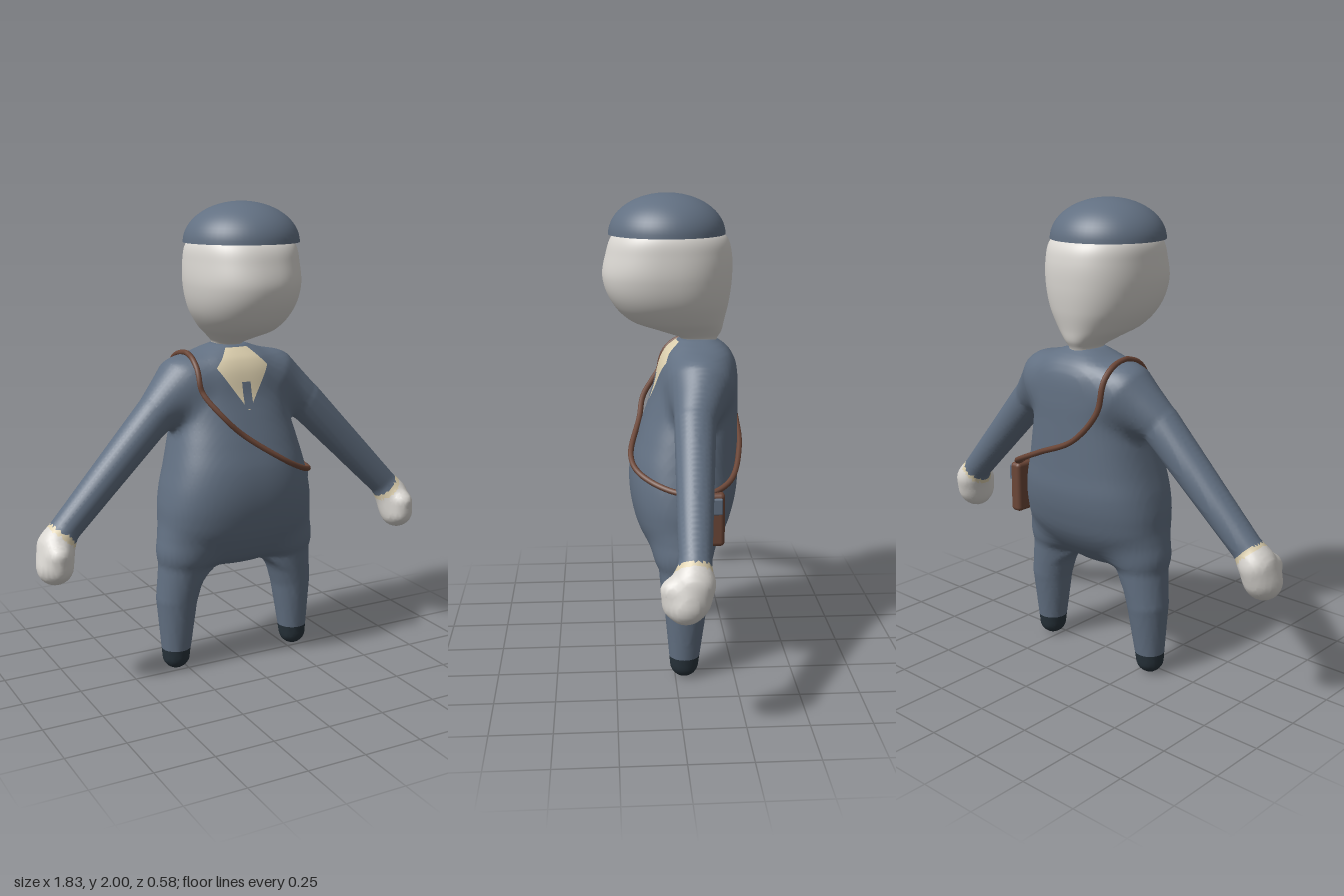
import * as THREE from 'three';
import { RoundedBoxGeometry } from 'three/addons/geometries/RoundedBoxGeometry.js';

const paint = (name, color) => Object.assign(new THREE.MeshStandardMaterial({ color }), { name });
const V = (x, y, z) => new THREE.Vector3(x, y, z);

// Smooth profile: rows of [y, halfWidth, frontZ, backZ], cubic between rows.
function profile(rows) {
  const slope = (i, k) => {
    const a = rows[Math.max(i - 1, 0)], b = rows[Math.min(i + 1, rows.length - 1)];
    return (b[k] - a[k]) / (b[0] - a[0]);
  };
  return (y) => {
    let i = 0;
    while (i < rows.length - 2 && y > rows[i + 1][0]) i++;
    const p = rows[i], q = rows[i + 1], d = q[0] - p[0];
    const t = Math.min(Math.max((y - p[0]) / d, 0), 1), t2 = t * t, t3 = t2 * t;
    return [1, 2, 3].map((k) => (2 * t3 - 3 * t2 + 1) * p[k] + (3 * t2 - 2 * t3) * q[k]
      + d * ((t3 - 2 * t2 + t) * slope(i, k) + (t3 - t2) * slope(i + 1, k)));
  };
}

const torso = profile([
  [0.455, 0.12, 0.02, -0.09], [0.5, 0.26, 0.08, -0.15], [0.6, 0.34, 0.14, -0.225], [0.7, 0.348, 0.17, -0.262],
  [0.8, 0.335, 0.18, -0.28], [0.9, 0.31, 0.17, -0.28], [1.0, 0.285, 0.14, -0.28], [1.1, 0.262, 0.105, -0.28],
  [1.2, 0.258, 0.07, -0.28], [1.3, 0.24, 0.045, -0.272], [1.35, 0.2, 0.02, -0.25], [1.38, 0.14, -0.01, -0.22],
  [1.405, 0.07, -0.04, -0.18],
]);

// Limbs as chains of [x, y, z, radius]; mirrored across x.
const arm = [[0.215, 1.235, -0.11, 0.125], [0.36, 1.13, -0.075, 0.084], [0.795, 0.685, -0.042, 0.062]];
const hand = [[0.822, 0.64, -0.025, 0.074], [0.838, 0.565, -0.005, 0.075]];
const palm = [[0.832, 0.635, -0.06, 0.05], [0.838, 0.585, -0.045, 0.05]];
const thumb = [[0.835, 0.62, 0.045, 0.045], [0.832, 0.565, 0.045, 0.036]];
const leg = [[0.293, 0.062, -0.038, 0.06], [0.283, 0.32, -0.045, 0.09], [0.25, 0.5, -0.04, 0.108]];

function chain(nodes, x, y, z) {
  let best = 9;
  for (let i = 0; i + 1 < nodes.length; i++) {
    const [a, b, c, r] = nodes[i], [d, e, f, s] = nodes[i + 1];
    const u = d - a, v = e - b, w = f - c;
    const t = Math.min(Math.max(((x - a) * u + (y - b) * v + (z - c) * w) / (u * u + v * v + w * w), 0), 1);
    best = Math.min(best, Math.hypot(x - a - u * t, y - b - v * t, z - c - w * t) - r - (s - r) * t);
  }
  return best;
}

function blend(a, b, k) {
  const h = Math.max(k - Math.abs(a - b), 0) / k;
  return Math.min(a, b) - h * h * k / 4;
}

// Distance to the skin of the whole body.
function field(px, y, z) {
  const x = Math.abs(px);
  const [rx, zf, zb] = torso(y);
  const rz = (zf - zb) / 2;
  const round = Math.pow(Math.pow(x / rx, 2.4) + Math.pow(Math.abs(z - (zf + zb) / 2) / rz, 2.4), 1 / 2.4);
  let d = Math.max((round - 1) * Math.min(rx, rz), y - 1.405, 0.455 - y);
  d = blend(d, chain(leg, x, y, z), 0.09);
  let limb = blend(chain(arm, x, y, z), chain(hand, x, y, z), 0.03);
  limb = blend(limb, chain(palm, x, y, z), 0.04);
  limb = blend(limb, chain(thumb, x, y, z), 0.03);
  return blend(d, limb, 0.06);
}

// Moves a point along the gradient until the field equals the target.
function settle(p, target = 0, steps = 4) {
  const e = 0.002;
  for (let n = 0; n < steps; n++) {
    const g = V(field(p.x + e, p.y, p.z) - field(p.x - e, p.y, p.z), field(p.x, p.y + e, p.z) - field(p.x, p.y - e, p.z),
      field(p.x, p.y, p.z + e) - field(p.x, p.y, p.z - e)).divideScalar(2 * e);
    const move = (target - field(p.x, p.y, p.z)) / Math.max(g.lengthSq(), 0.2);
    p.addScaledVector(g, Math.min(Math.max(move, -0.01), 0.01));
  }
  return p;
}

// Meshes the field on a grid, one vertex per crossed cell; faces sorted by zone.
function skinGeometry(zoneOf, zoneCount, hemY) {
  const h = 0.016, size = [122, 93, 38], origin = [-0.968, -0.024, -0.33];
  const step = [1, size[0], size[0] * size[1]];
  const values = new Float32Array(step[2] * size[2]), cell = new Int32Array(values.length).fill(-1);
  const at = (i, j, k) => i + j * step[1] + k * step[2];
  const each = (from, to, fn) => {
    for (let k = from; k < size[2] - to; k++) for (let j = from; j < size[1] - to; j++)
      for (let i = from; i < size[0] - to; i++) fn(i, j, k, at(i, j, k));
  };
  each(0, 0, (i, j, k, n) => { values[n] = field(origin[0] + i * h, origin[1] + j * h, origin[2] + k * h); });
  const points = [];
  each(0, 1, (i, j, k, n) => {
    const sum = V(0, 0, 0);
    let hits = 0;
    for (let c = 0; c < 8; c++) for (let a = 0; a < 3; a++) {
      if (c >> a & 1) continue;
      const m = n + (c & 1) + (c >> 1 & 1) * step[1] + (c >> 2) * step[2];
      const f0 = values[m], f1 = values[m + step[a]];
      if (f0 < 0 === f1 < 0) continue;
      const q = V(c & 1, c >> 1 & 1, c >> 2);
      q.setComponent(a, f0 / (f0 - f1));
      sum.add(q);
      hits++;
    }
    if (!hits) return;
    const p = sum.divideScalar(hits).add(V(i, j, k)).multiplyScalar(h).add(V(...origin));
    settle(p);
    if (j === Math.floor((hemY - origin[1]) / h)) p.y = hemY;
    cell[n] = points.push(p) - 1;
  });
  const zones = Array.from({ length: zoneCount }, () => []);
  each(1, 1, (i, j, k, n) => {
    for (let a = 0; a < 3; a++) {
      if (values[n] < 0 === values[n + step[a]] < 0) continue;
      const b = step[(a + 1) % 3], c = step[(a + 2) % 3];
      const quad = [cell[n], cell[n - b], cell[n - b - c], cell[n - c]];
      if (values[n] >= 0) quad.reverse();
      const [p, q, r, s] = quad;
      for (const tri of [[p, q, r], [p, r, s]]) {
        const mid = V(0, 0, 0);
        tri.forEach((t) => mid.addScaledVector(points[t], 1 / 3));
        zones[zoneOf(mid)].push(...tri);
      }
    }
  });
  const geo = new THREE.BufferGeometry().setFromPoints(points);
  geo.setIndex(zones.flat());
  let start = 0;
  zones.forEach((z, i) => { geo.addGroup(start, z.length, i); start += z.length; });
  geo.computeVertexNormals();
  return geo;
}

// Grid of (rows+1) x cols points; wraps around when closed.
function gridGeometry(rows, cols, closed, pointAt) {
  const pts = [], index = [];
  for (let r = 0; r <= rows; r++) for (let c = 0; c < cols; c++) pts.push(pointAt(r / rows, c / (closed ? cols : cols - 1)));
  for (let r = 0; r < rows; r++) for (let c = 0; c < (closed ? cols : cols - 1); c++) {
    const a = r * cols + c, b = r * cols + (c + 1) % cols;
    index.push(a, b, b + cols, a, b + cols, a + cols);
  }
  const geo = new THREE.BufferGeometry().setFromPoints(pts);
  geo.setIndex(index);
  geo.computeVertexNormals();
  return geo;
}

// Thin cloth patch lying on the chest.
function chestPatch(y0, y1, halfWidth, lift) {
  return gridGeometry(30, 17, false, (v, u) => {
    const y = y0 + (y1 - y0) * v, x = (u * 2 - 1) * halfWidth(y);
    let out = 0.25, inside = -0.11;
    for (let n = 0; n < 18; n++) {
      const m = (out + inside) / 2;
      if (field(x, y, m) < 0) inside = m; else out = m;
    }
    return V(x, y, out + lift);
  });
}

export function createModel() {
  const cloth = paint('blue grey cloth', 0x627082), skin = paint('pale skin', 0xd9d6d1);
  const linen = paint('cream linen', 0xdccfae), leather = paint('brown leather', 0x6b4637);
  const shoe = paint('dark shoe', 0x27323a);
  const model = new THREE.Group();
  const add = (name, geo, mat) => {
    const mesh = new THREE.Mesh(geo, mat);
    mesh.name = name;
    model.add(mesh);
    return mesh;
  };

  // Suit, shoes, cuffs and hands in one continuous skin
  const zoneOf = (p) => {
    if (p.y < 0.096) return 1;
    const along = 0.673 * Math.abs(p.x) - 0.739 * p.y;
    if (Math.abs(p.x) < 0.6 || along < 0.02) return 0;
    return along < 0.04 ? 2 : 3;
  };
  add('body', skinGeometry(zoneOf, 4, 0.096), [cloth, shoe, linen, skin]);

  // Shirt opening and tie
  const vee = (y) => (y < 1.32 ? 0.12 * (y - 1.14) / 0.18 : 0.12 - 0.07 * (y - 1.32) / 0.075);
  add('shirtFront', chestPatch(1.145, 1.395, vee, 0.003), linen);
  add('tie', chestPatch(1.15, 1.26, () => 0.02, 0.006), cloth);

  // Head and neck
  const head = profile([
    [1.36, 0.07, -0.045, -0.18], [1.405, 0.06, -0.04, -0.195], [1.435, 0.088, 0.04, -0.212], [1.48, 0.145, 0.165, -0.222],
    [1.56, 0.2, 0.245, -0.24], [1.66, 0.226, 0.282, -0.252], [1.76, 0.225, 0.267, -0.25], [1.83, 0.212, 0.24, -0.226],
    [1.88, 0.17, 0.18, -0.16],
  ]);
  const bend = (v) => Math.sign(v) * Math.pow(Math.abs(v), 0.88);
  add('head', gridGeometry(64, 56, true, (v, u) => {
    const y = 1.36 + 0.52 * v, [rx, zf, zb] = head(y), t = -u * Math.PI * 2;
    return V(rx * bend(Math.cos(t)), y, (zf + zb) / 2 + (zf - zb) / 2 * bend(Math.sin(t)));
  }), skin);

  // Cap: closed dome
  const dome = Array.from({ length: 17 }, (_, i) => {
    const t = i / 16 * Math.PI / 2;
    return new THREE.Vector2(Math.max(0.24 * Math.cos(t), 0), 1.835 + 0.165 * Math.sin(t));
  });
  add('cap', new THREE.LatheGeometry(dome, 56), cloth).position.z = 0.016;
  const brim = add('capUnderside', new THREE.CircleGeometry(0.24, 56), cloth);
  brim.rotation.x = Math.PI / 2;
  brim.position.set(0, 1.835, 0.016);

  // Shoulder strap, kept just outside the body
  const route = new THREE.CatmullRomCurve3([
    V(-0.2, 1.375, -0.1), V(-0.2, 1.32, 0), V(-0.195, 1.23, 0.04), V(-0.13, 1.127, 0.112), V(-0.05, 1.05, 0.132),
    V(0.13, 0.93, 0.175), V(0.23, 0.88, 0.14), V(0.345, 0.835, 0), V(0.37, 0.835, -0.13), V(0.32, 0.87, -0.22),
    V(0.12, 0.96, -0.28), V(-0.08, 1.05, -0.285), V(-0.19, 1.18, -0.265), V(-0.205, 1.31, -0.23),
  ], true);
  const path = route.getSpacedPoints(70).slice(0, -1);
  path.forEach((p) => { if (field(p.x, p.y, p.z) < 0.006) settle(p, 0.006, 8); });
  add('strap', new THREE.TubeGeometry(new THREE.CatmullRomCurve3(path, true), 160, 0.012, 8, true), leather);

  // Satchel with flap
  add('satchel', new RoundedBoxGeometry(0.056, 0.225, 0.095, 3, 0.018), leather).position.set(0.367, 0.728, -0.148);
  add('satchelFlap', new RoundedBoxGeometry(0.016, 0.068, 0.085, 2, 0.006), cloth).position.set(0.402, 0.79, -0.142);
  return model;
}
